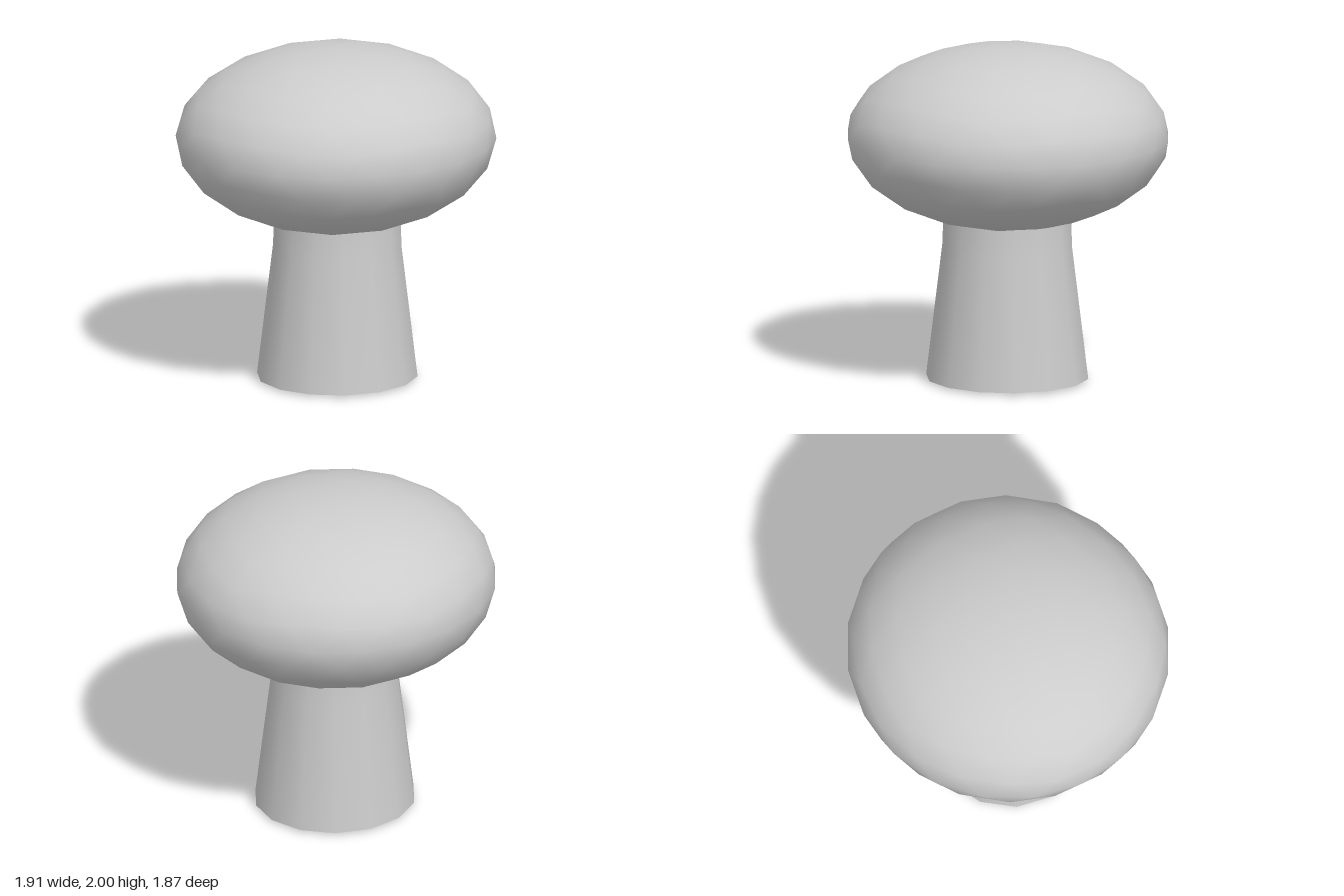
import * as THREE from 'three';

// Icosphere made by halving every edge twice, with one vertex at each pole
function icosphere() {
  const verts = [0, 1, 0];
  const faces = [];
  const h = 1 / Math.sqrt(5), r = 2 * h;
  for (let ring = 0; ring < 2; ring++) {
    for (let i = 0; i < 5; i++) {
      const a = (i + ring / 2) * Math.PI * 2 / 5;
      verts.push(r * Math.cos(a), ring ? -h : h, r * Math.sin(a));
    }
  }
  verts.push(0, -1, 0);
  for (let i = 0; i < 5; i++) {
    const j = (i + 1) % 5;
    const u = 1 + i, un = 1 + j, l = 6 + i, ln = 6 + j;
    faces.push(0, un, u, u, un, l, l, un, ln, 11, l, ln);
  }
  const half = new THREE.PolyhedronGeometry(verts, faces, 1, 1);
  const points = Array.from(half.attributes.position.array);
  return new THREE.PolyhedronGeometry(points, points.slice(0, points.length / 3).map((_, i) => i), 1, 1);
}

export function createModel() {
  const model = new THREE.Group();
  model.name = 'mushroom';
  const grey = new THREE.MeshStandardMaterial({ color: 0xcccccc });
  grey.name = 'light grey';

  const add = (name, geometry) => {
    const mesh = new THREE.Mesh(geometry, grey);
    mesh.name = name;
    model.add(mesh);
    return mesh;
  };

  // Flattened round cap
  add('cap', icosphere().scale(0.957, 0.54, 0.937)).position.y = 1.46;

  // Fourteen-sided tapering stem and its slightly domed base
  const turned = (profile) => new THREE.LatheGeometry(
    profile.map(([x, y]) => new THREE.Vector2(x, y)), 14, Math.PI * 0.75
  ).scale(1, 1, 0.975).translate(0, 0, 0.01);
  add('stem', turned([[0.483, 0.014], [0.387, 0.8], [0.378, 1.05]]));
  add('stemBase', turned([[0, 0], [0.483, 0.014]]));

  return model;
}
